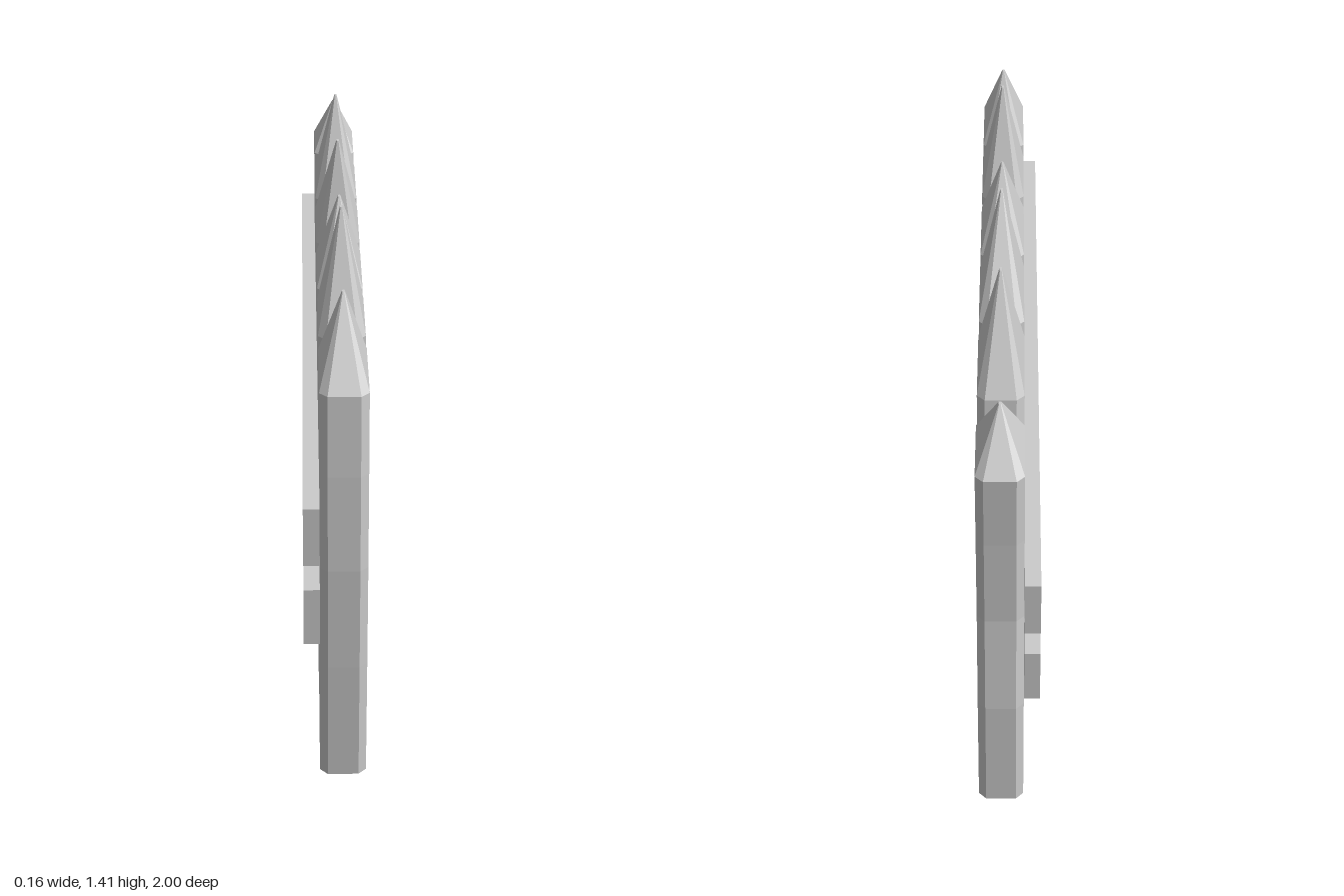
import * as THREE from 'three';

const material = new THREE.MeshStandardMaterial({ color: 0xcccccc, flatShading: true });
const X0 = -0.04, X1 = 0.08, XC = 0.02, CHAMFER = 0.02;

// Each picket: rows of [height, left edge z, right edge z] and a tip [height, z]
const pickets = [
  { rows: [[0, .92, .635], [.35, .935, .645], [.64, .94, .675], [.9, .93, .66], [1.11, .915, .64]], tip: [1.31, .755] },
  { rows: [[0, .595, .36], [.35, .61, .36], [.64, .62, .35], [.9, .585, .355], [1.11, .61, .345]], tip: [1.41, .47] },
  { rows: [[0, .335, .03], [.23, .315, .05], [.41, .32, .035], [.64, .31, .045], [.9, .335, .05], [1.11, .325, .04]], tip: [1.325, .19] },
  { rows: [[0, -.02, -.29], [.23, -.01, -.26], [.41, -.005, -.28], [.64, -.02, -.26], [.9, .015, -.27], [1.11, .02, -.28]], tip: [1.39, -.055] },
  { rows: [[0, -.36, -.635], [.23, -.36, -.61], [.41, -.38, -.6], [.64, -.35, -.59], [.9, -.355, -.62], [1.11, -.305, -.6]], tip: [1.39, -.43] },
  { rows: [[0, -.68, -.925], [.35, -.645, -.925], [.64, -.62, -.9], [.9, -.645, -.905], [1.11, -.68, -.915]], tip: [1.25, -.79] },
];

// Chamfered rectangle, anticlockwise seen from above
function section(y, zl, zr) {
  const c = CHAMFER;
  return [
    [X1, zl - c], [X1, zr + c], [X1 - c, zr], [X0 + c, zr],
    [X0, zr + c], [X0, zl - c], [X0 + c, zl], [X1 - c, zl],
  ].map(([x, z]) => new THREE.Vector3(x, y, z));
}

// Join the section rings with quads and close both ends
function loft(rings) {
  const pos = [];
  const tri = (...pts) => pts.forEach((p) => pos.push(p.x, p.y, p.z));
  const n = rings[0].length;
  for (let r = 0; r < rings.length - 1; r++) {
    const a = rings[r], b = rings[r + 1];
    for (let i = 0; i < n; i++) {
      const j = (i + 1) % n;
      tri(a[i], a[j], b[j]);
      tri(a[i], b[j], b[i]);
    }
  }
  const bottom = rings[0], top = rings[rings.length - 1];
  for (let i = 1; i < n - 1; i++) {
    tri(bottom[0], bottom[i + 1], bottom[i]);
    tri(top[0], top[i], top[i + 1]);
  }
  const geometry = new THREE.BufferGeometry();
  geometry.setAttribute('position', new THREE.Float32BufferAttribute(pos, 3));
  geometry.computeVertexNormals();
  return geometry;
}

function makePicket({ rows, tip }) {
  const rings = rows.map((row) => section(...row));
  // Small blunt tip: the shoulder section shrunk around the peak
  const [, zl, zr] = rows[rows.length - 1];
  const peak = new THREE.Vector3(XC, tip[0], tip[1]);
  const centre = new THREE.Vector3(XC, tip[0], (zl + zr) / 2);
  rings.push(section(tip[0], zl, zr).map((p) => p.sub(centre).multiplyScalar(0.05).add(peak)));
  return new THREE.Mesh(loft(rings), material);
}

export function createModel() {
  const fence = new THREE.Group();
  fence.name = 'picketFence';

  // Wavy pointed boards
  pickets.forEach((spec, i) => {
    const picket = makePicket(spec);
    picket.name = `picket${i + 1}`;
    fence.add(picket);
  });

  // Two long rails along the back of the boards
  [['lowerRail', 0.547], ['upperRail', 0.775]].forEach(([name, y]) => {
    const rail = new THREE.Mesh(new THREE.BoxGeometry(0.04, 0.158, 2), material);
    rail.name = name;
    rail.position.set(-0.06, y, 0);
    fence.add(rail);
  });

  return fence;
}
